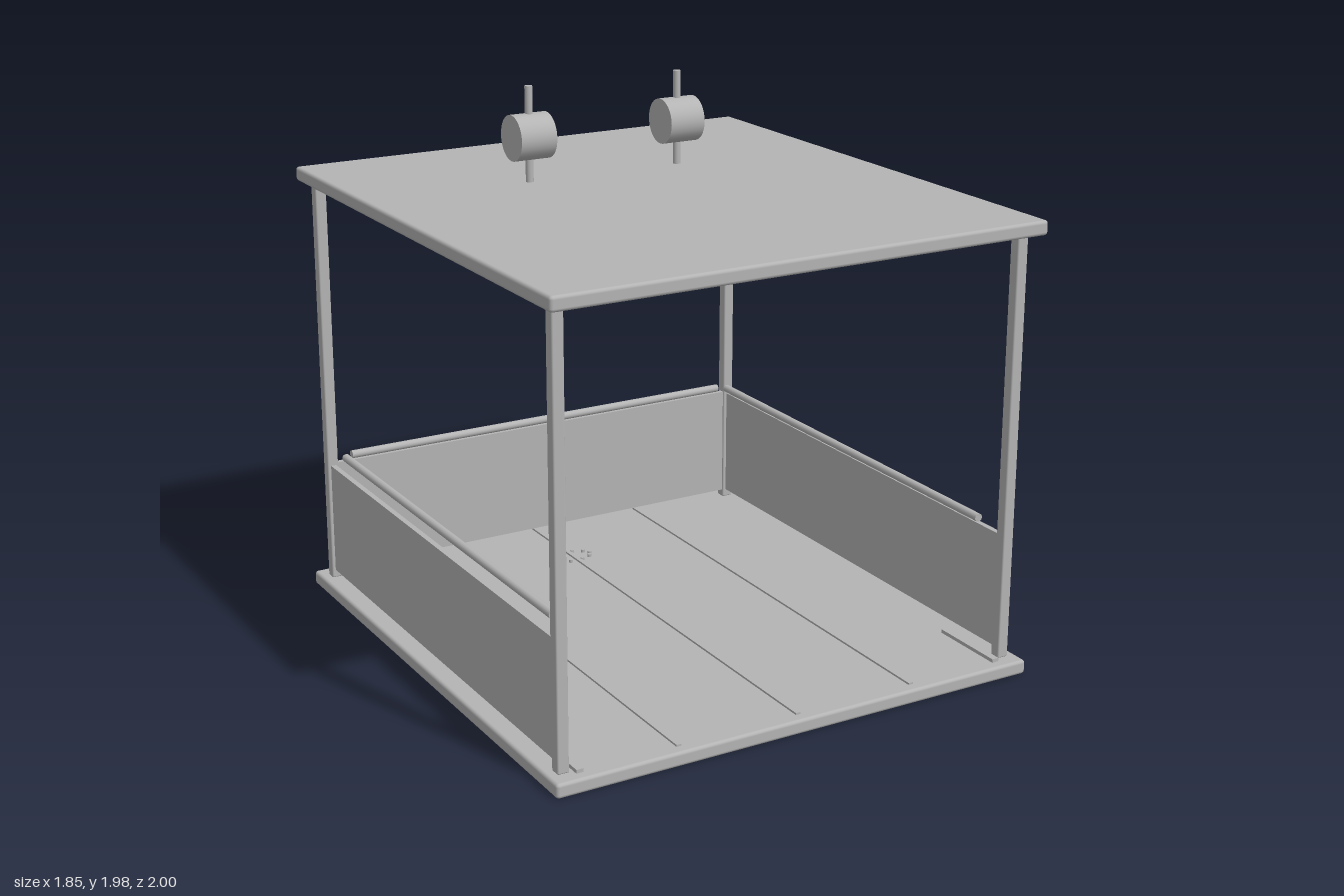
import * as THREE from 'three';
import { RoundedBoxGeometry } from 'three/addons/geometries/RoundedBoxGeometry.js';

export function createModel() {
  const model = new THREE.Group();
  const grey = new THREE.MeshStandardMaterial({ color: 0xb4b4b4 });
  grey.name = 'plain grey';
  const facetedGrey = grey;

  function add(name, geometry, x, y, z) {
    const mesh = new THREE.Mesh(geometry, facetedGrey);
    mesh.name = name;
    mesh.position.set(x, y, z);
    model.add(mesh);
    return mesh;
  }

  // Box given by its minimum and maximum on each axis, optionally with rounded edges
  function block(name, [x0, x1], [y0, y1], [z0, z1], radius = 0) {
    const size = [x1 - x0, y1 - y0, z1 - z0];
    const geometry = radius
      ? new RoundedBoxGeometry(...size, 2, radius)
      : new THREE.BoxGeometry(...size);
    return add(name, geometry, (x0 + x1) / 2, (y0 + y1) / 2, (z0 + z1) / 2);
  }

  // Round bar along an axis
  function bar(name, axis, radius, length, x, y, z, sides = 16) {
    const geometry = new THREE.CylinderGeometry(radius, radius, length, sides);
    if (axis === 'x') geometry.rotateZ(Math.PI / 2);
    if (axis === 'z') geometry.rotateX(Math.PI / 2);
    return add(name, geometry, x, y, z);
  }

  // Floor slab, roof slab and the recessed ceiling
  block('base', [-0.925, 0.925], [0, 0.052], [-1, 1], 0.012);
  block('roof', [-0.925, 0.925], [1.582, 1.634], [-1, 1], 0.012);
  block('ceilingPanel', [-0.85, 0.85], [1.572, 1.59], [-0.9, 0.9]);

  // Back wall and the rail above it
  block('backWall', [-0.85, 0.85], [0.08, 0.508], [-0.926, -0.906]);
  bar('backRail', 'x', 0.015, 1.605, 0, 0.54, -0.88);

  for (const side of [-1, 1]) {
    // Corner posts
    for (const end of [-1, 1]) {
      const post = new RoundedBoxGeometry(0.042, 1.54, 0.042, 2, 0.006);
      add(end > 0 ? 'frontPost' : 'backPost', post, side * 0.87, 0.82, end * 0.92);
    }

    // Side wall, its rail, and the ceiling light
    const wall = new THREE.BoxGeometry(0.02, 0.42, 1.785);
    add('sideWall', wall, side * 0.87, 0.293, -0.003);
    bar('sideRail', 'z', 0.015, 1.67, side * 0.835, 0.54, -0.02);
    add('ceilingStrip', new THREE.BoxGeometry(0.062, 0.012, 1.24), side * 0.66, 1.567, 0);

    // Short foot strip by the front post
    add('floorGuide', new THREE.BoxGeometry(0.026, 0.014, 0.295), side * 0.822, 0.058, 0.813);

    // Drum standing on a vertical rod through the roof
    const x = side * 0.3;
    bar('rod', 'y', 0.014, 0.345, x, 1.803, -0.355);
    bar('drum', 'x', 0.082, 0.138, x, 1.796, -0.355, 32);
  }

  // Seams between the floor boards
  for (const x of [-0.46, 0, 0.46]) {
    add('floorSeam', new THREE.BoxGeometry(0.018, 0.008, 1.92), x, 0.055, 0);
  }

  // Small ring of studs near the back of the floor
  for (let i = 0; i < 10; i++) {
    const a = (i / 10) * Math.PI * 2;
    bar('floorStud', 'y', 0.008, 0.012, 0.08 * Math.cos(a) - 0.01, 0.057, 0.045 * Math.sin(a) - 0.625, 8);
  }

  return model;
}
